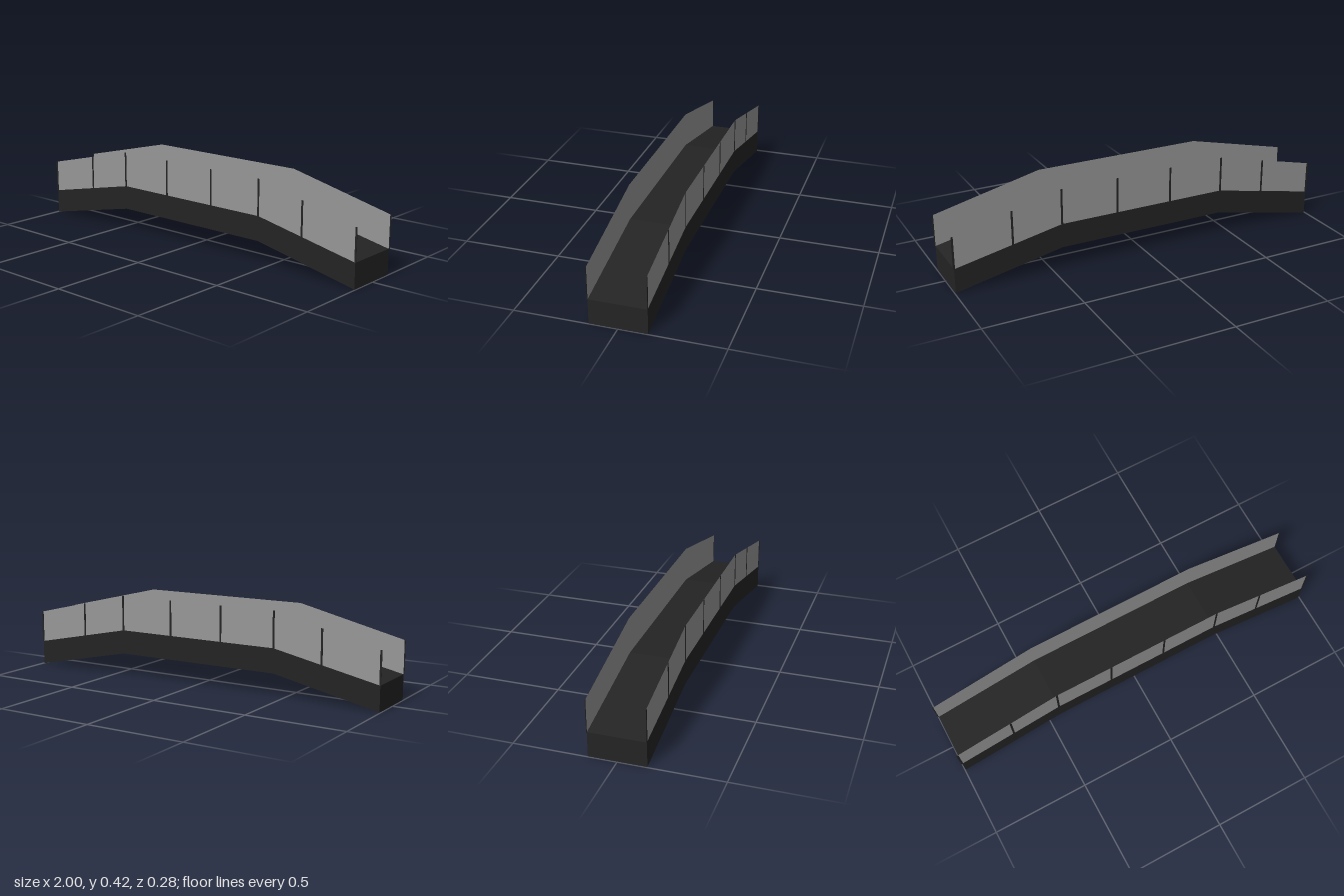
import * as THREE from 'three';

const dark = new THREE.MeshStandardMaterial({ color: 0x242424 });
dark.name = 'dark steel';
const grey = new THREE.MeshStandardMaterial({ color: 0x979797, side: THREE.DoubleSide });
grey.name = 'grey panel';

const HALF_WIDTH = 0.139;

// Stations along the span: x, deck underside, deck top, panel top
const stations = [
  [-0.995, 0, 0.125, 0.29],
  [-0.445, 0.115, 0.238, 0.42],
  [0.445, 0.115, 0.238, 0.42],
  [0.995, 0, 0.125, 0.29],
];

// Outline between two of the station heights
function band(low, high) {
  const bottom = stations.map((s) => new THREE.Vector2(s[0], s[low]));
  const top = stations.map((s) => new THREE.Vector2(s[0], s[high])).reverse();
  return new THREE.Shape([...bottom, ...top]);
}

// Height of a station column at any x
function heightAt(x, column) {
  const i = x < stations[1][0] ? 0 : x < stations[2][0] ? 1 : 2;
  const a = stations[i], b = stations[i + 1];
  return THREE.MathUtils.mapLinear(x, a[0], b[0], a[column], b[column]);
}

function addMesh(parent, name, geometry, material) {
  const mesh = new THREE.Mesh(geometry, material);
  mesh.name = name;
  parent.add(mesh);
  return mesh;
}

// One side wall: a thin panel with slim posts on its outer face
function sideRailing(name) {
  const side = new THREE.Group();
  side.name = name;
  addMesh(side, 'panel', new THREE.ShapeGeometry(band(2, 3)), grey).position.z = HALF_WIDTH - 0.001;
  for (const x of [-0.995, -0.7, -0.445, -0.148, 0.148, 0.445, 0.7, 0.995]) {
    const low = heightAt(x, 2), high = heightAt(x, 3);
    const post = addMesh(side, 'post', new THREE.BoxGeometry(0.01, high - low, 0.0015), dark);
    post.position.set(x, (low + high) / 2, HALF_WIDTH);
  }
  return side;
}

export function createModel() {
  const model = new THREE.Group();
  model.name = 'footbridge';

  // Solid bent deck
  const deck = new THREE.ExtrudeGeometry(band(1, 2), { depth: HALF_WIDTH * 2, bevelEnabled: false });
  addMesh(model, 'deck', deck, dark).position.z = -HALF_WIDTH;

  // Matching railings front and back
  const back = sideRailing('backRailing');
  back.rotation.y = Math.PI;
  model.add(sideRailing('frontRailing'), back);
  return model;
}
